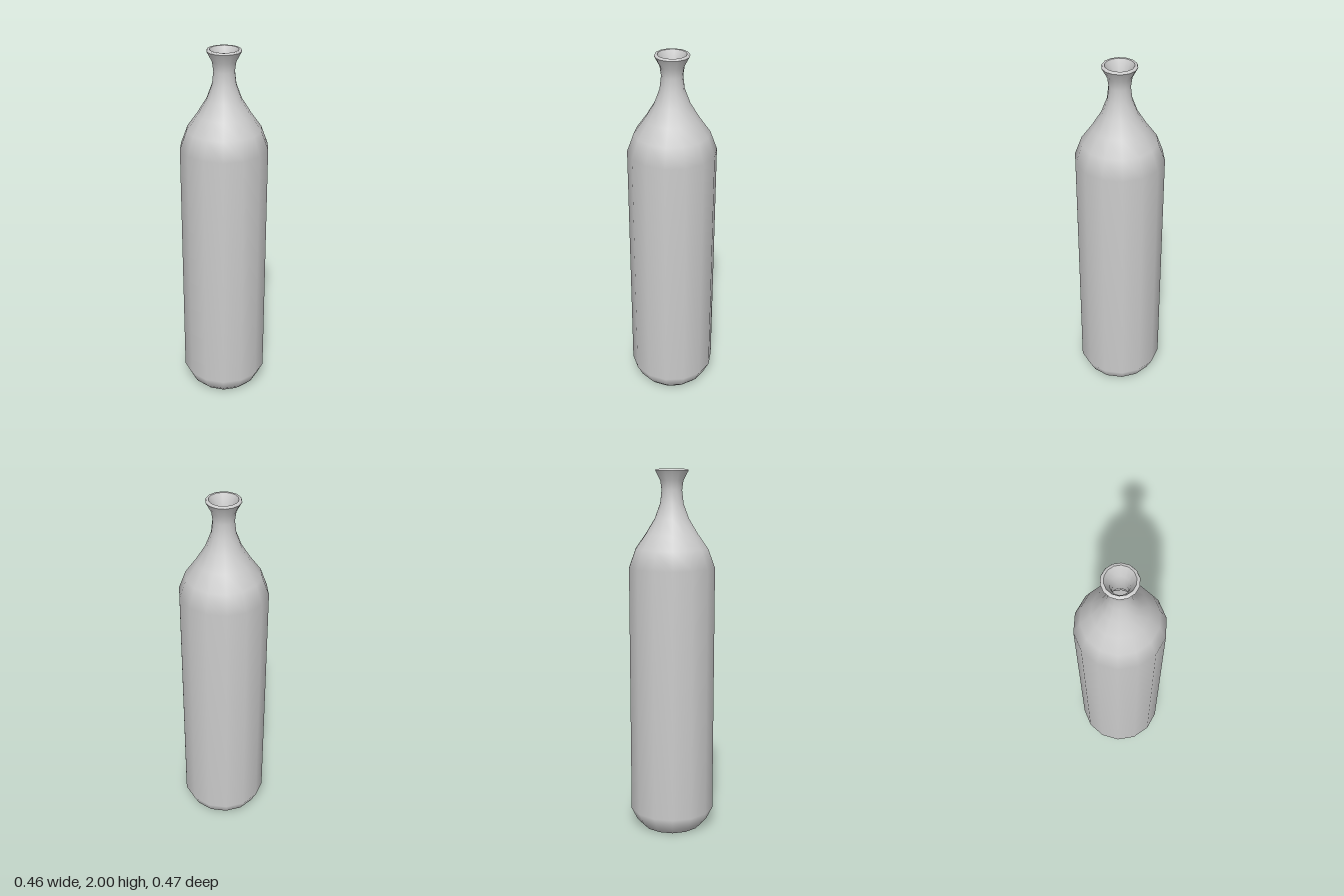
import * as THREE from 'three';

const SIDES = 14;

export function createModel() {
  const bottle = new THREE.Group();
  bottle.name = 'bottle';
  const material = new THREE.MeshStandardMaterial({ color: 0xcccccc });

  // Each part is a lathed [radius, height] profile; separate parts keep sharp edges between them
  const addPart = (name, profile) => {
    const points = profile.map(([r, y]) => new THREE.Vector2(r, y));
    const mesh = new THREE.Mesh(new THREE.LatheGeometry(points, SIDES), material);
    mesh.name = name;
    bottle.add(mesh);
  };

  // Flat underside
  addPart('base', [[0, 0], [0.17, 0]]);

  // Rounded foot, straight body, shoulder, neck and flared mouth
  addPart('outerWall', [
    [0.17, 0], [0.203, 0.035], [0.237, 0.105], [0.237, 1.48],
    [0.2, 1.58], [0.143, 1.66], [0.094, 1.74], [0.064, 1.82],
    [0.056, 1.89], [0.063, 1.94], [0.091, 1.992],
  ]);

  // Lip around the opening
  addPart('lip', [[0.091, 1.992], [0.087, 2], [0.075, 2]]);

  // Hollow inside, following the outer wall from the mouth down
  addPart('innerWall', [
    [0.075, 2], [0.047, 1.945], [0.039, 1.89], [0.047, 1.815],
    [0.078, 1.73], [0.128, 1.648], [0.184, 1.57], [0.219, 1.475],
    [0.219, 0.11], [0.19, 0.048], [0.162, 0.018],
  ]);

  // Inside floor
  addPart('floor', [[0.162, 0.018], [0, 0.018]]);

  return bottle;
}
